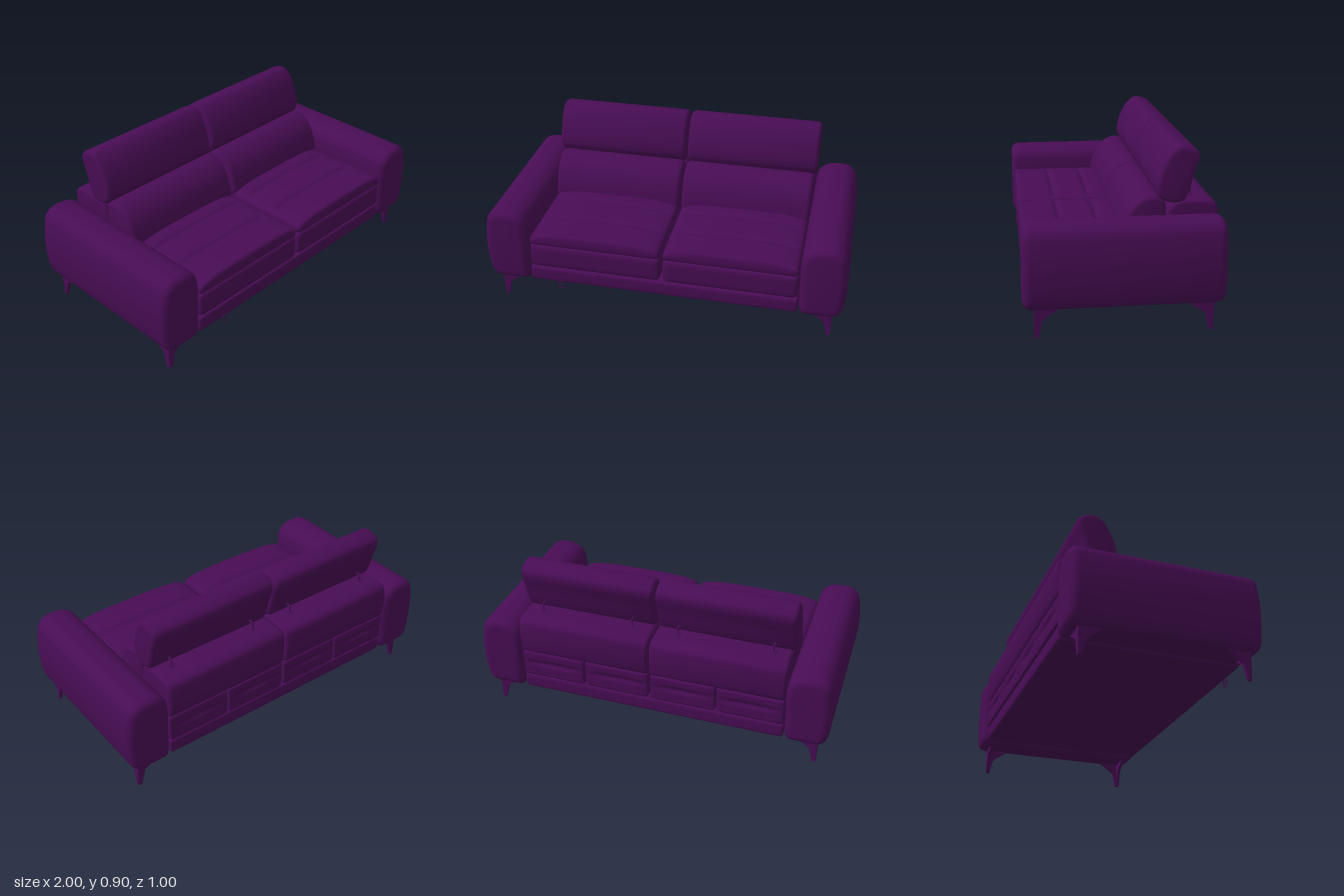
import * as THREE from 'three';
import { mergeVertices, toCreasedNormals } from 'three/addons/utils/BufferGeometryUtils.js';

const leather = new THREE.MeshStandardMaterial({ color: 0x480d54 });
leather.name = 'purple leather';

function part(parent, name, geometry, x = 0, y = 0, z = 0) {
  const mesh = new THREE.Mesh(geometry, leather);
  mesh.name = name;
  mesh.position.set(x, y, z);
  parent.add(mesh);
  return mesh;
}

// Closed smooth outline extruded with rounded ends, centred along its depth
function softExtrude(points, depth, bevel) {
  const curve = new THREE.CatmullRomCurve3(
    points.map(([a, b]) => new THREE.Vector3(a, b, 0)), true, 'centripetal');
  const outline = curve.getPoints(72).slice(0, -1).map(p => new THREE.Vector2(p.x, p.y));
  const geo = new THREE.ExtrudeGeometry(new THREE.Shape(outline), {
    depth: depth - 2 * bevel, steps: 1, bevelEnabled: true, bevelSize: bevel,
    bevelThickness: bevel, bevelOffset: -bevel, bevelSegments: 6,
  });
  geo.translate(0, 0, -(depth - 2 * bevel) / 2);
  return toCreasedNormals(geo, 0.8);
}

// Outline given as (z, y), running along x
const sideExtrude = (points, width, bevel) =>
  softExtrude(points, width, bevel).rotateY(-Math.PI / 2);

// Rounded box with a fine grid, denser at the edges, optionally reshaped by a rule
function cushion(w, h, d, r, segs = [16, 12, 16], rule = null) {
  const raw = new THREE.BoxGeometry(2, 2, 2, ...segs);
  raw.deleteAttribute('normal');
  raw.deleteAttribute('uv');
  const geo = mergeVertices(raw);
  const pos = geo.attributes.position;
  const half = new THREE.Vector3(w / 2, h / 2, d / 2);
  const inner = half.clone().subScalar(r);
  const p = new THREE.Vector3(), c = new THREE.Vector3();
  const ease = v => Math.sin(v * Math.PI / 2);
  for (let i = 0; i < pos.count; i++) {
    p.fromBufferAttribute(pos, i);
    p.set(ease(p.x), ease(p.y), ease(p.z)).multiply(half);
    c.copy(p).clamp(inner.clone().negate(), inner);
    p.sub(c);
    if (p.lengthSq() > 0) p.setLength(r);
    p.add(c);
    if (rule) rule(p);
    pos.setXYZ(i, p.x, p.y, p.z);
  }
  geo.computeVertexNormals();
  return geo;
}

const dent = (v, at, width) => Math.exp(-(((v - at) / width) ** 2));

export function createModel() {
  const sofa = new THREE.Group();
  sofa.name = 'sofa';

  // Base under the seats
  part(sofa, 'base', cushion(1.5, 0.09, 0.97, 0.02), 0, 0.195, 0);

  // Profiles as (z, y)
  const headrestProfile = [
    [-0.182, 0.70], [-0.19, 0.65], [-0.22, 0.62], [-0.28, 0.607], [-0.325, 0.62], [-0.345, 0.66],
    [-0.37, 0.75], [-0.396, 0.84], [-0.385, 0.872], [-0.34, 0.895], [-0.29, 0.897],
    [-0.25, 0.865], [-0.22, 0.82], [-0.195, 0.76]];
  const lumbarProfile = [
    [-0.012, 0.42], [-0.012, 0.47], [-0.045, 0.565], [-0.085, 0.613], [-0.14, 0.642],
    [-0.19, 0.642], [-0.225, 0.615], [-0.235, 0.56], [-0.22, 0.42], [-0.1, 0.40]];
  const backProfile = [
    [-0.23, 0.40], [-0.235, 0.55], [-0.255, 0.59], [-0.295, 0.616], [-0.38, 0.62], [-0.455, 0.616],
    [-0.488, 0.595], [-0.499, 0.55], [-0.499, 0.46], [-0.485, 0.405], [-0.45, 0.395]];
  const headrest = sideExtrude(headrestProfile, 0.755, 0.025);
  const lumbar = sideExtrude(lumbarProfile, 0.74, 0.025);
  const back = sideExtrude(backProfile, 0.745, 0.02);

  // Seat block and crowned pad with two stitched creases
  const seat = cushion(0.738, 0.145, 0.75, 0.03);
  const padDepth = 0.62, padZ = 0.18;
  const pad = cushion(0.735, 0.05, padDepth, 0.024, [32, 8, 80], p => {
    const u = Math.min(1, Math.abs(p.x) / 0.3675);
    const top = THREE.MathUtils.smoothstep(p.y, -0.015, 0.025);
    const crown = 0.028 * (1 - u ** 4);
    const fade = 1 - THREE.MathUtils.smoothstep(u, 0.8, 0.95);
    const crease = 0.014 * fade * (dent(p.z + padZ, 0.08, 0.014) + dent(p.z + padZ, 0.28, 0.014));
    p.y += top * (crown - crease);
  });
  // Lower back panel with a shallow horizontal fold
  const panel = cushion(0.37, 0.165, 0.2, 0.02, [12, 32, 12], p => {
    if (p.z < -0.07) p.z += 0.012 * dent(p.y, 0.01, 0.015) * (1 - (p.x / 0.185) ** 2);
  });

  // Bent rod carrying a headrest
  const rodPath = new THREE.CurvePath();
  const rodPoints = [[0.61, -0.37], [0.66, -0.37], [0.66, -0.32]]
    .map(([y, z]) => new THREE.Vector3(0, y, z));
  rodPath.add(new THREE.LineCurve3(rodPoints[0], rodPoints[1]));
  rodPath.add(new THREE.LineCurve3(rodPoints[1], rodPoints[2]));
  const rod = new THREE.TubeGeometry(rodPath, 16, 0.005, 8);
  const collar = new THREE.CylinderGeometry(0.014, 0.016, 0.008, 16);

  // Leg fin: outer edge at 0, reaching inward
  const fin = new THREE.ExtrudeGeometry(new THREE.Shape([
    [0, 0.155], [-0.006, 0], [-0.022, 0], [-0.045, 0.09], [-0.125, 0.145], [-0.125, 0.155],
  ].map(([a, b]) => new THREE.Vector2(a, b))), { depth: 0.018, bevelEnabled: false });

  for (const s of [1, -1]) {
    const side = s > 0 ? 'left' : 'right';
    const half = new THREE.Group();
    half.name = side + 'Half';
    sofa.add(half);

    part(half, 'headrest', headrest, s * 0.384);
    part(half, 'lumbarCushion', lumbar, s * 0.377);
    part(half, 'backFrame', back, s * 0.377);
    part(half, 'seatCushion', seat, s * 0.376, 0.314, 0.115);
    part(half, 'seatPad', pad, s * 0.376, 0.407, padZ);
    for (const x of [0.19, 0.564]) part(half, 'backPanel', panel, s * x, 0.322, -0.39);
    for (const x of [0.13, 0.65]) {
      part(half, 'headrestRod', rod, s * x);
      part(half, 'rodCollar', collar, s * x, 0.622, -0.37);
    }

    // Armrest: full round top, slightly bulged outer side
    const armProfile = [
      [0.775, 0.15], [0.76, 0.165], [0.752, 0.3], [0.75, 0.47], [0.766, 0.53], [0.81, 0.565],
      [0.87, 0.576], [0.93, 0.57], [0.973, 0.535], [0.99, 0.47], [0.999, 0.37], [0.993, 0.25],
      [0.975, 0.175], [0.945, 0.15], [0.86, 0.146]];
    part(half, 'armrest', softExtrude(armProfile.map(([x, y]) => [s * x, y]), 1.0, 0.045));

    // Corner legs made of two fins at right angles
    for (const f of [1, -1]) {
      const leg = new THREE.Group();
      leg.name = (f > 0 ? 'front' : 'back') + 'Leg';
      leg.position.set(s * 0.935, 0, f * 0.447);
      half.add(leg);
      const across = part(leg, 'finAcross', fin, 0, 0, f > 0 ? -0.02 : 0.002);
      if (s < 0) {
        across.rotation.y = Math.PI;
        across.position.z += 0.018;
      }
      const along = part(leg, 'finAlong', fin, s > 0 ? -0.02 : 0.002, 0, 0);
      along.rotation.y = f > 0 ? -Math.PI / 2 : Math.PI / 2;
      if (f > 0) along.position.x += 0.018;
    }
  }

  // Small release pull hanging at the front
  const pull = new THREE.Group();
  pull.name = 'releasePull';
  pull.position.set(-0.57, 0.142, 0.487);
  part(pull, 'pullRing', new THREE.TorusGeometry(0.024, 0.002, 6, 24));
  const strap = part(pull, 'pullStrap', new THREE.CylinderGeometry(0.002, 0.002, 0.06, 6));
  strap.rotation.z = 0.7;
  sofa.add(pull);

  return sofa;
}
